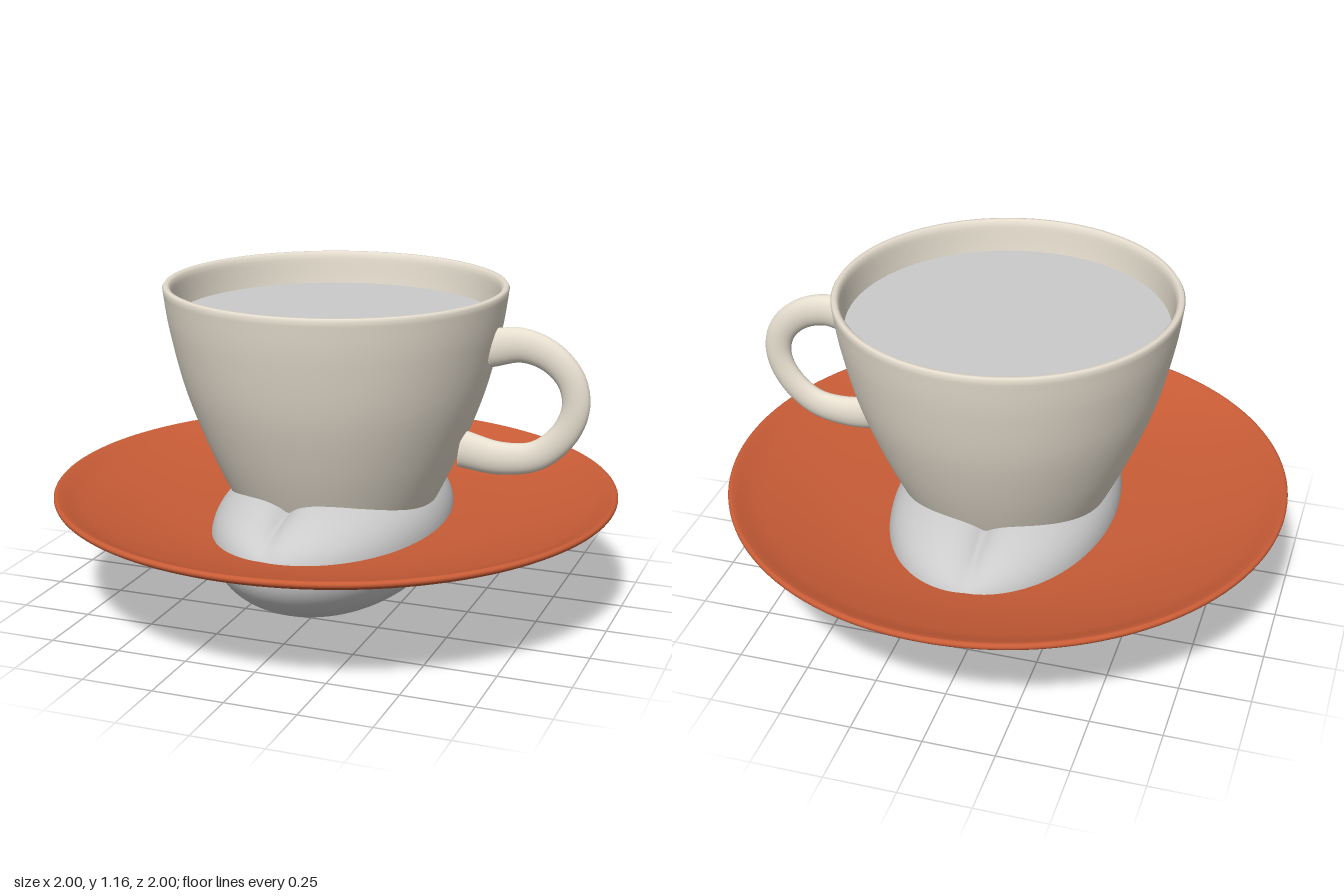
import * as THREE from 'three';

const V2 = (p) => new THREE.Vector2(p[0], p[1]);
const mat = (color) => new THREE.MeshStandardMaterial({ color });

function add(group, name, geometry, material) {
  const mesh = new THREE.Mesh(geometry, material);
  mesh.name = name;
  group.add(mesh);
  return mesh;
}

// Smooth profile through a few points
const smooth = (pts, n) => new THREE.SplineCurve(pts.map(V2)).getPoints(n);

// Coffee bean: round belly, lower top with a groove along z
function beanGeometry() {
  const g = new THREE.SphereGeometry(1, 128, 80);
  const p = g.attributes.position;
  for (let i = 0; i < p.count; i++) {
    const nx = p.getX(i), ny = p.getY(i), nz = p.getZ(i);
    const x = nx * 0.4;
    let y = ny * 0.28;
    if (ny > 0) {
      const top = 0.245 * Math.pow(ny, 0.8);
      const groove = 0.3 * Math.exp(-Math.abs(x + 0.03) / 0.06);
      y = top * (1 - groove);
    }
    p.setXYZ(i, x, 0.28 + y, nz * 0.63);
  }
  g.computeVertexNormals();
  return g;
}

// Handle: oval section swept along a curve in the xy plane, slimmer in the middle
function handleGeometry() {
  const path = new THREE.CatmullRomCurve3([
    [0.555, 0.968], [0.67, 0.987], [0.77, 0.955], [0.842, 0.882], [0.862, 0.79],
    [0.825, 0.69], [0.73, 0.605], [0.6, 0.583], [0.465, 0.603],
  ].map(([x, y]) => new THREE.Vector3(x, y, 0)));
  const steps = 64, sides = 28;
  const pos = [], index = [];
  for (let i = 0; i <= steps; i++) {
    const t = i / steps;
    const c = path.getPointAt(t), d = path.getTangentAt(t);
    const slim = Math.sin(Math.PI * t);
    const a = 0.067 - 0.019 * slim, b = 0.042 - 0.012 * slim;
    for (let j = 0; j < sides; j++) {
      const ang = (j / sides) * Math.PI * 2;
      const u = Math.cos(ang) * a;
      pos.push(c.x - d.y * u, c.y + d.x * u, Math.sin(ang) * b);
    }
  }
  for (let i = 0; i < steps; i++) {
    for (let j = 0; j < sides; j++) {
      const k = (j + 1) % sides;
      const p = i * sides + j, q = i * sides + k;
      index.push(p, q, p + sides, q, q + sides, p + sides);
    }
  }
  // Flat end caps with their own vertices
  for (const end of [0, steps]) {
    const base = pos.length / 3;
    for (let j = 0; j < sides; j++) {
      const o = (end * sides + j) * 3;
      pos.push(pos[o], pos[o + 1], pos[o + 2]);
    }
    for (let j = 1; j < sides - 1; j++) {
      if (end === 0) index.push(base, base + j + 1, base + j);
      else index.push(base, base + j, base + j + 1);
    }
  }
  const g = new THREE.BufferGeometry();
  g.setAttribute('position', new THREE.Float32BufferAttribute(pos, 3));
  g.setIndex(index);
  g.computeVertexNormals();
  return g;
}

export function createModel() {
  const model = new THREE.Group();
  model.name = 'coffeeCup';
  const ceramic = mat(0xe6decf), clay = mat(0xc85c36), grey = mat(0xcccccc);

  // Bean under the saucer
  add(model, 'bean', beanGeometry(), grey);

  // Saucer: foot, shallow underside, rolled rim, dished top
  const saucer = [
    ...[[0, 0.28], [0.38, 0.275], [0.45, 0.27], [0.48, 0.28]].map(V2),
    ...smooth([[0.5, 0.288], [0.62, 0.305], [0.8, 0.343], [0.94, 0.382], [0.99, 0.403],
      [1, 0.417], [0.992, 0.426], [0.975, 0.423], [0.9, 0.393], [0.75, 0.355], [0.6, 0.33], [0.4, 0.315]], 60),
    V2([0, 0.31]),
  ];
  add(model, 'saucer', new THREE.LatheGeometry(saucer, 128), clay);

  // Cup: outer wall, thin rounded rim, inner wall
  const cup = [
    V2([0, 0.34]),
    ...smooth([[0.33, 0.34], [0.38, 0.43], [0.457, 0.6], [0.53, 0.8], [0.578, 1], [0.598, 1.13]], 32),
    ...[[0.6, 1.147], [0.594, 1.156], [0.582, 1.156], [0.573, 1.147]].map(V2),
    ...smooth([[0.57, 1.13], [0.553, 1], [0.505, 0.8], [0.43, 0.6], [0.36, 0.45], [0.3, 0.4]], 28),
    V2([0, 0.39]),
  ];
  add(model, 'cup', new THREE.LatheGeometry(cup, 128), ceramic);

  add(model, 'handle', handleGeometry(), ceramic);

  // Drink surface
  const drink = add(model, 'drink', new THREE.CircleGeometry(0.56, 96), grey);
  drink.rotation.x = -Math.PI / 2;
  drink.position.y = 1.04;

  return model;
}
